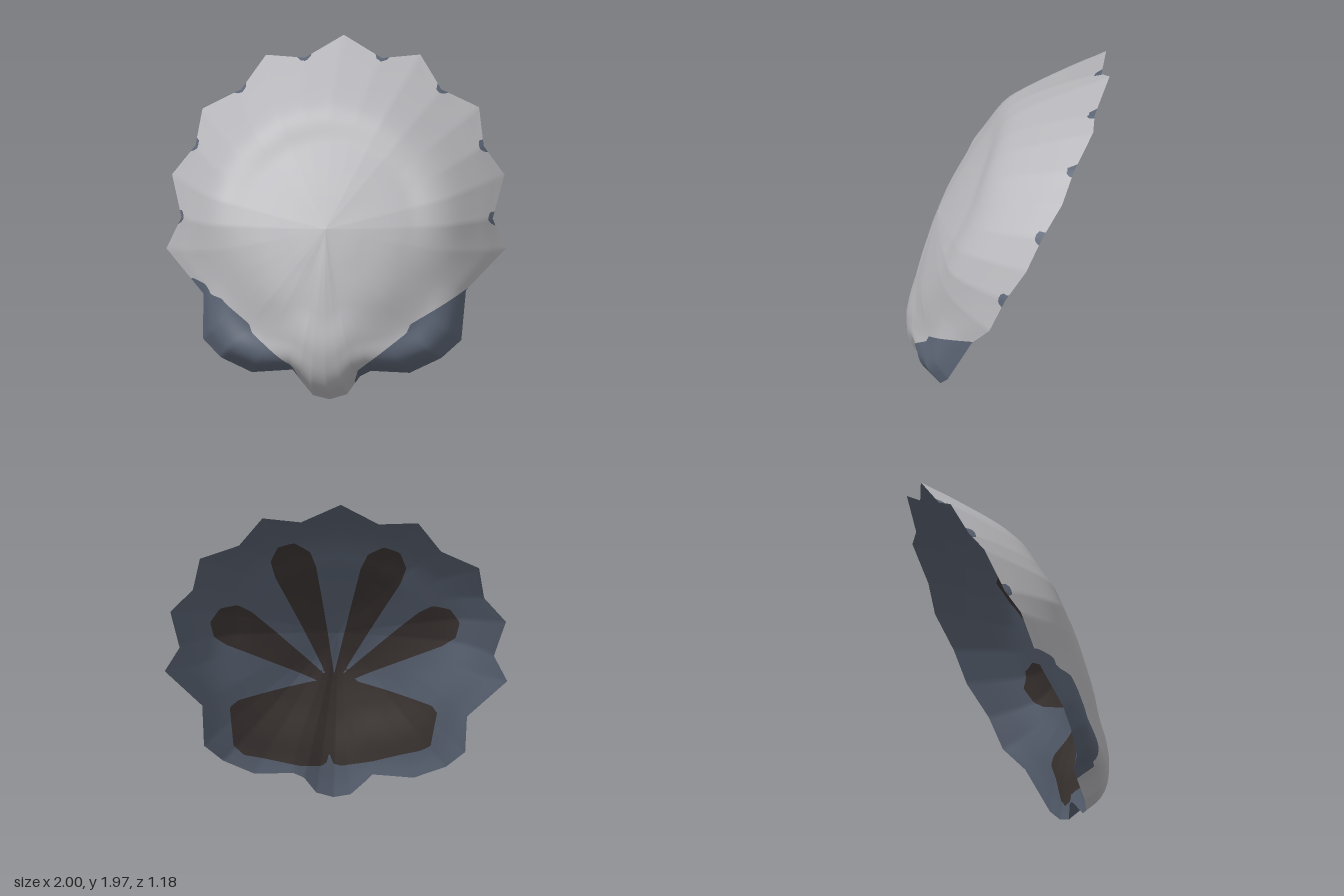
import * as THREE from 'three';

function flatColour(name, color) {
  const material = new THREE.MeshStandardMaterial({ color });
  material.name = name;
  return material;
}
const shellGrey = flatColour('shellGrey', 0xb6b6ba);
const slateBlue = flatColour('slateBlue', 0x5b6474);
const darkBrown = flatColour('darkBrown', 0x3e3735);

const CENTRE_Y = 1, STEPS = 10, RINGS = 48;
const rimZ = (y) => 0.46 - 0.533 * y;

// bowl depth from the middle to the rim, at the fractions in STOPS
const STOPS = [0, 0.25, 0.5, 0.75, 0.92, 1];
const OUTSIDE = {
  depth: 0.485,
  hinge: [1, 0.89, 0.74, 0.56, 0.27, 0],
  waist: [1, 0.89, 0.76, 0.61, 0.36, 0],
  cheek: [1, 0.89, 0.74, 0.45, 0.25, 0],
  ear: [1, 0.89, 0.71, 0.38, 0.24, 0],
  flank: [1, 0.92, 0.79, 0.53, 0.2, 0],
  side: [1, 0.95, 0.86, 0.71, 0.27, 0],
  top: [1, 0.97, 0.9, 0.81, 0.33, 0],
};
const INSIDE = {
  depth: 0.44,
  hinge: [1, 0.88, 0.62, 0.29, 0.1, 0],
  waist: [1, 0.88, 0.62, 0.29, 0.1, 0],
  cheek: [1, 0.88, 0.61, 0.28, 0.1, 0],
  ear: [1, 0.88, 0.62, 0.28, 0.1, 0],
  flank: [1, 0.91, 0.72, 0.42, 0.17, 0],
  side: [1, 0.95, 0.86, 0.69, 0.26, 0],
  top: [1, 0.97, 0.89, 0.78, 0.32, 0],
};

// scalloped rim, counter-clockwise from the hinge: x, y, depth profile
const RIM = [
  [0.03, 0, 'hinge'], [0.13, 0.03, 'hinge'], [0.2, 0.13, 'waist'], [0.26, 0.16, 'waist'],
  [0.49, 0.155, 'cheek'], [0.67, 0.24, 'ear'], [0.78, 0.34, 'ear'], [0.785, 0.61, 'flank'],
  [1, 0.84, 'flank'], [0.91, 1, 'side'], [0.96, 1.24, 'side'], [0.825, 1.39, 'side'],
  [0.78, 1.6, 'side'], [0.55, 1.69, 'top'], [0.41, 1.875, 'top'], [0.185, 1.85, 'top'],
  [-0.05, 1.97, 'top'], [-0.27, 1.84, 'top'], [-0.5, 1.85, 'top'], [-0.63, 1.66, 'top'],
  [-0.85, 1.55, 'side'], [-0.875, 1.35, 'side'], [-1, 1.19, 'side'], [-0.925, 0.96, 'side'],
  [-1, 0.79, 'flank'], [-0.76, 0.55, 'flank'], [-0.745, 0.31, 'ear'], [-0.63, 0.21, 'ear'],
  [-0.44, 0.135, 'cheek'], [-0.2, 0.155, 'waist'], [-0.15, 0.1, 'waist'], [-0.07, 0.02, 'hinge'],
];
const N = RIM.length, M = N * STEPS;

function sample(list, j) {
  const i = Math.floor(j / STEPS), t = (j % STEPS) / STEPS;
  const a = list[i], b = list[(i + 1) % N];
  return a.map((v, k) => v + (b[k] - v) * t);
}

// all points of the bowl, ring by ring; each is followed by its place on an
// evened-out bowl, which gives the soft shading
function bowlPoints(profiles) {
  const sharp = RIM.map(([x, y, kind]) => [x, y, ...profiles[kind]]);
  const even = sharp.map((p, i) => {
    const a = sharp[(i + N - 1) % N], b = sharp[(i + 1) % N];
    return p.map((v, k) => v / 2 + (a[k] + b[k]) / 4);
  });
  const points = [];
  for (let j = 0; j < M; j++) {
    const hard = sample(sharp, j), soft = sample(even, j);
    const depth = new THREE.CubicInterpolant(STOPS, soft.slice(2), 1);
    for (let k = 0; k <= RINGS; k++) {
      const r = k / RINGS, z = profiles.depth * depth.evaluate(r)[0];
      const place = (mix) => {
        const y = CENTRE_Y + r * (soft[1] + (hard[1] - soft[1]) * mix - CENTRE_Y);
        return [r * (soft[0] + (hard[0] - soft[0]) * mix), y, rimZ(y) + z];
      };
      points[k * M + j] = [...place(Math.pow(r, 6)), ...place(0)];
    }
  }
  return points;
}

// signed distance to a polygon, positive inside
function polygonField(poly, x, y) {
  let best = Infinity, hit = false;
  poly.forEach(([ax, ay], i) => {
    const [bx, by] = poly[(i + 1) % poly.length];
    const dx = bx - ax, dy = by - ay;
    const t = THREE.MathUtils.clamp(((x - ax) * dx + (y - ay) * dy) / (dx * dx + dy * dy), 0, 1);
    best = Math.min(best, Math.hypot(x - ax - dx * t, y - ay - dy * t));
    if ((ay > y) !== (by > y) && x < (dx * (y - ay)) / dy + ax) hit = !hit;
  });
  return hit ? best : -best;
}

// outside markings: ears beside the hinge and a spot in each scallop valley
const EARS = [
  [[0.17, 0.1], [0.2, 0.18], [0.25, 0.22], [0.48, 0.4], [0.5, 0.45], [0.81, 0.63], [1, 0.5],
    [1, 0], [0.25, 0]],
  [[-0.16, 0.1], [-0.18, 0.19], [-0.43, 0.38], [-0.45, 0.43], [-0.58, 0.52], [-0.63, 0.56],
    [-0.7, 0.57], [-0.74, 0.625], [-0.83, 0.64], [-1, 0.5], [-1, 0], [-0.25, 0]],
];
const SPOTS = [9, 11, 13, 15, 17, 19, 21, 23].map((i) => RIM[i]);
function outerField([x, y, z]) {
  const ears = EARS.map((p) => polygonField(p, x, y));
  const spots = SPOTS.map(([a, b]) => 0.046 - Math.hypot(x - a, y - b, z - rimZ(b)));
  return Math.max(...ears, ...spots);
}

// inside markings: four narrow petals and one broad lower patch, meeting at a hub
const HUB = [0.03, 0.67];
const PATCH = [[0.03, 0.68], [0.14, 0.7], [0.58, 0.61], [0.63, 0.57], [0.61, 0.33], [0.55, 0.27],
  [0.22, 0.2], [0.1, 0.19], [0.07, 0.21], [0.055, 0.27], [0.03, 0.2], [-0.02, 0.19],
  [-0.2, 0.23], [-0.48, 0.3], [-0.54, 0.33], [-0.58, 0.54], [-0.55, 0.58], [-0.1, 0.7]];
const PETALS = [[0.71, 1.15], [0.29, 1.61], [-0.33, 1.58], [-0.69, 1.15]].map(([tx, ty]) => {
  const dx = tx - HUB[0], dy = ty - HUB[1], len = Math.hypot(dx, dy);
  const side = [[0, 0.012], [0.8, 0.125], [0.91, 0.12], [1, 0.05]];
  const place = (t, w) => [HUB[0] + dx * t - (dy / len) * w, HUB[1] + dy * t + (dx / len) * w];
  return [...side.map(([t, w]) => place(t, w)), ...side.reverse().map(([t, w]) => place(t, -w))];
});
function innerField([x, y]) {
  const parts = [PATCH, ...PETALS].map((p) => polygonField(p, x, y));
  return Math.max(...parts, 0.035 - Math.hypot(x - HUB[0], y - HUB[1]));
}

// one side of the shell, with faces cut cleanly along the edge of the markings
function makeSheet(name, profiles, materials, fieldAt, flip) {
  const points = bowlPoints(profiles), field = points.map(fieldAt);
  const sets = [[], []], cuts = new Map();
  const put = (set, a, b, c) => sets[set].push(...(flip ? [a, c, b] : [a, b, c]));
  const cut = (a, b) => {
    const key = Math.min(a, b) + '_' + Math.max(a, b);
    if (!cuts.has(key)) {
      const t = field[a] / (field[a] - field[b]);
      cuts.set(key, points.length);
      points.push(points[a].map((v, i) => v + (points[b][i] - v) * t));
    }
    return cuts.get(key);
  };
  const add = (...tri) => {
    const marks = tri.map((v) => (field[v] > 0 ? 1 : 0));
    const sum = marks[0] + marks[1] + marks[2];
    if (sum % 3 === 0) return put(marks[0], ...tri);
    const lone = marks.indexOf(sum === 1 ? 1 : 0);
    const a = tri[lone], b = tri[(lone + 1) % 3], c = tri[(lone + 2) % 3];
    const ab = cut(a, b), ac = cut(a, c);
    put(marks[lone], a, ab, ac);
    put(1 - marks[lone], ab, b, c);
    put(1 - marks[lone], ab, c, ac);
  };
  for (let k = 0; k < RINGS; k++) {
    for (let j = 0; j < M; j++) {
      const n = (j + 1) % M;
      const a = k * M + j, b = a + M, c = (k + 1) * M + n, d = k * M + n;
      add(a, b, c);
      if (k > 0) add(a, c, d);
    }
  }
  const geo = new THREE.BufferGeometry();
  const attribute = (from) =>
    new THREE.Float32BufferAttribute(points.flatMap((p) => p.slice(from, from + 3)), 3);
  geo.setIndex([...sets[0], ...sets[1]]);
  geo.addGroup(0, sets[0].length, 0);
  geo.addGroup(sets[0].length, sets[1].length, 1);
  geo.setAttribute('position', attribute(3));
  geo.computeVertexNormals();
  geo.setAttribute('position', attribute(0));
  const mesh = new THREE.Mesh(geo, materials);
  mesh.name = name;
  return mesh;
}

export function createModel() {
  const group = new THREE.Group();
  group.name = 'scallopShell';
  group.add(makeSheet('outerShell', OUTSIDE, [shellGrey, slateBlue], outerField, false));
  group.add(makeSheet('innerShell', INSIDE, [slateBlue, darkBrown], innerField, true));
  return group;
}
